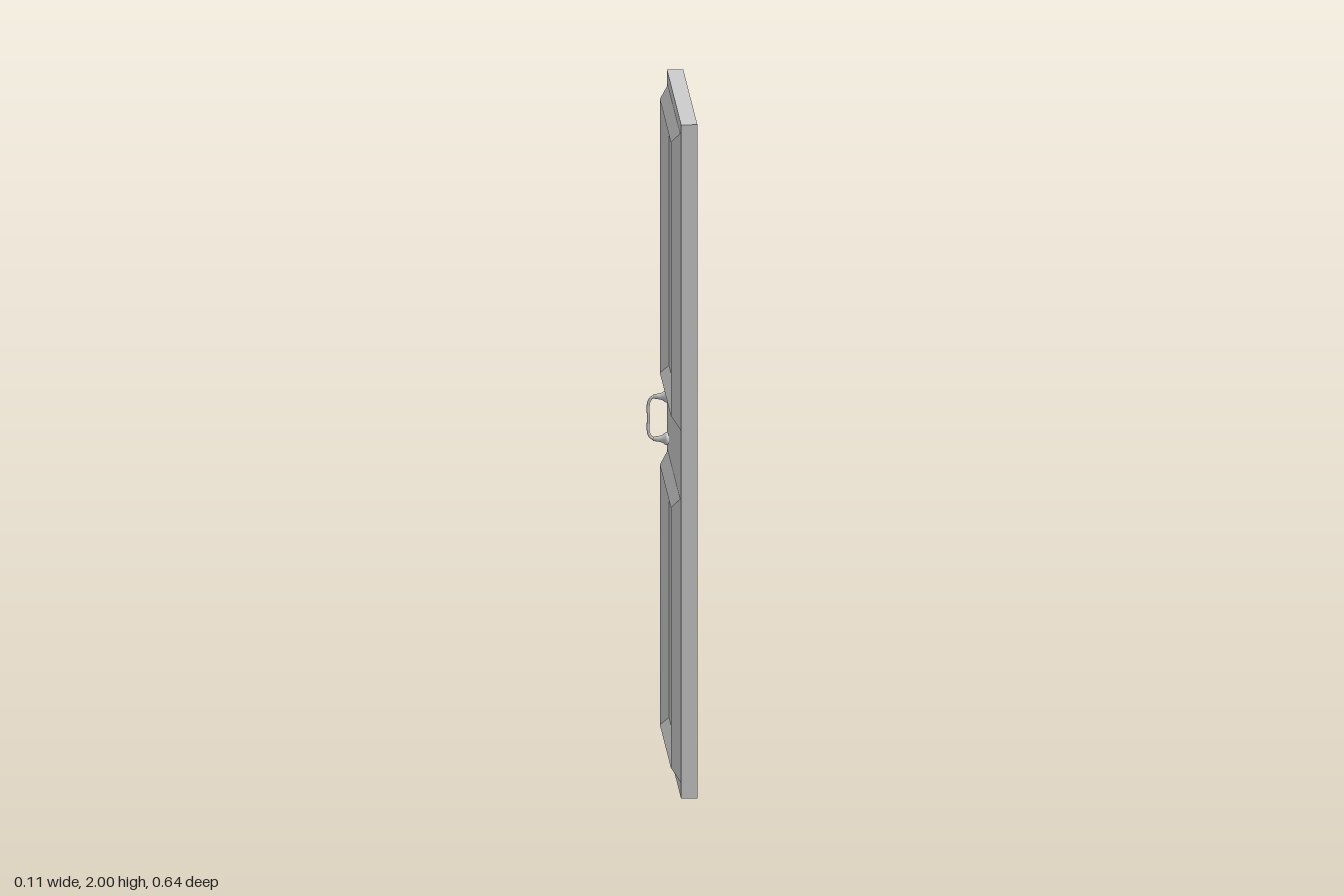
import * as THREE from 'three';

const FACE = 0.007; // x of the panelled face of the door
const material = new THREE.MeshStandardMaterial({ color: 0xcccccc });

function add(parent, name, geometry) {
  const mesh = new THREE.Mesh(geometry, material);
  mesh.name = name;
  parent.add(mesh);
  return mesh;
}

// Rectangular moulding: rings of [inset, x] joined from the outside inwards
function mouldingGeometry(halfWidth, y0, y1, rings) {
  const corners = rings.map(([inset, x]) => {
    const w = halfWidth - inset, lo = y0 + inset, hi = y1 - inset;
    return [[x, lo, -w], [x, lo, w], [x, hi, w], [x, hi, -w]];
  });
  const positions = [];
  for (let r = 0; r < rings.length - 1; r++) {
    for (let i = 0; i < 4; i++) {
      const j = (i + 1) % 4;
      const a = corners[r][i], b = corners[r][j];
      const c = corners[r + 1][j], d = corners[r + 1][i];
      positions.push(...a, ...b, ...c, ...a, ...c, ...d);
    }
  }
  const geometry = new THREE.BufferGeometry();
  geometry.setAttribute('position', new THREE.Float32BufferAttribute(positions, 3));
  geometry.computeVertexNormals();
  return geometry;
}

export function createModel() {
  const door = new THREE.Group();
  door.name = 'door';

  // Plain slab
  const slab = add(door, 'slab', new THREE.BoxGeometry(0.047, 2, 0.64));
  slab.position.set(FACE + 0.0235, 1, 0);

  // Raised frames around the two recessed panels
  const rings = [[0, FACE], [0.034, -0.018], [0.062, FACE - 0.0005]];
  add(door, 'lowerMoulding', mouldingGeometry(0.283, 0.04, 0.88, rings));
  add(door, 'upperMoulding', mouldingGeometry(0.283, 1.085, 1.965, rings));

  // Pull handle: two flared posts joined by a slim grip
  const handle = new THREE.Group();
  handle.name = 'handle';
  handle.position.set(0, 0.986, -0.248);
  door.add(handle);

  const postProfile = [
    [0.015, 0], [0.019, 0.004], [0.018, 0.009], [0.011, 0.018],
    [0.0085, 0.028], [0.006, 0.044], [0, 0.047],
  ].map(([r, h]) => new THREE.Vector2(r, h));
  for (const side of [-1, 1]) {
    const post = add(handle, side > 0 ? 'upperPost' : 'lowerPost',
      new THREE.LatheGeometry(postProfile, 16));
    post.rotation.z = Math.PI / 2;
    post.position.set(FACE, side * 0.063, 0);
  }

  const gripPath = new THREE.CatmullRomCurve3([
    [-0.03, 0.063], [-0.041, 0.06], [-0.05, 0.046], [-0.051, 0],
    [-0.05, -0.046], [-0.041, -0.06], [-0.03, -0.063],
  ].map(([x, y]) => new THREE.Vector3(x, y, 0)));
  add(handle, 'grip', new THREE.TubeGeometry(gripPath, 32, 0.0045, 10));

  return door;
}
